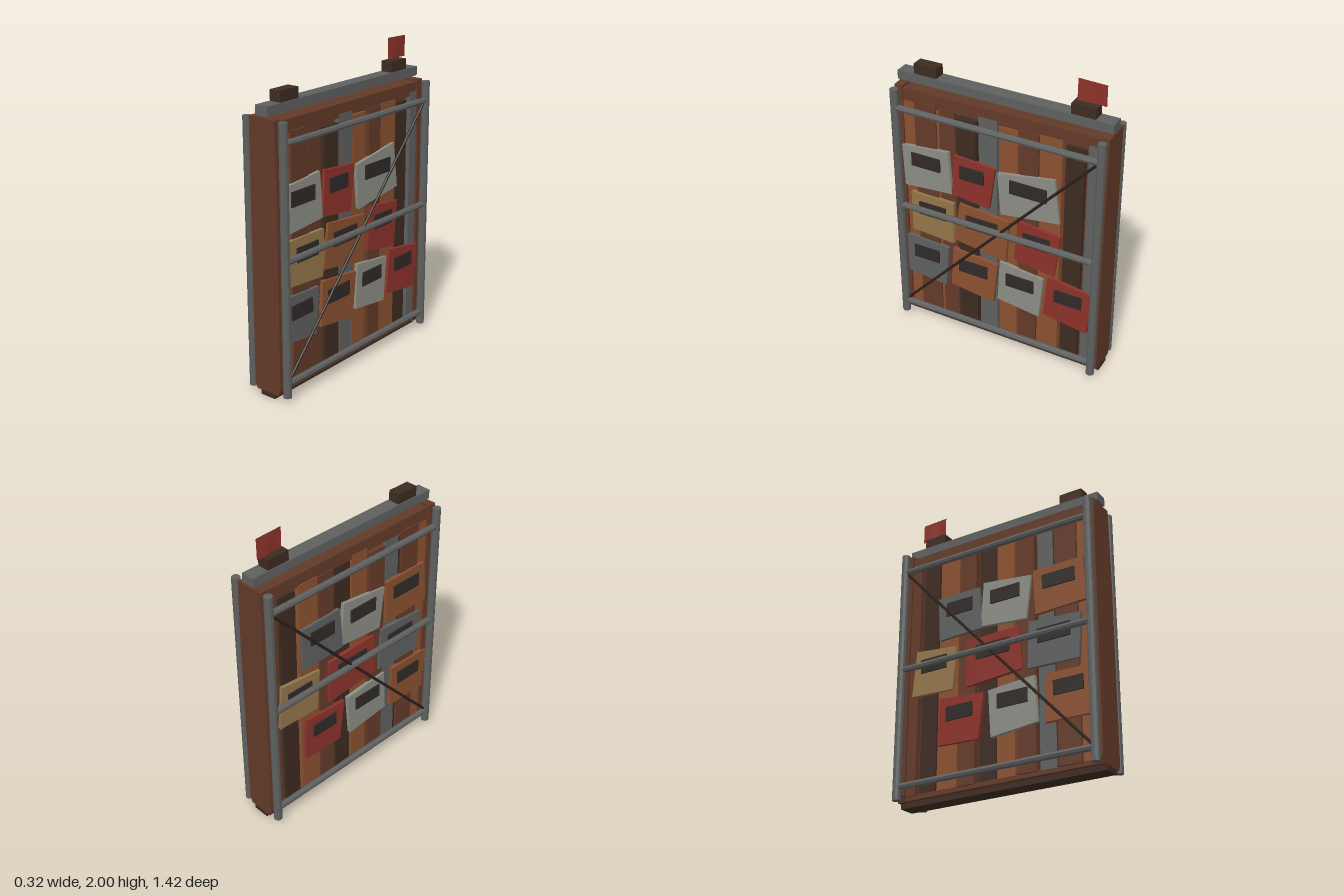
import * as THREE from 'three';

const C = {
  rust: 0x8a5030, brown: 0x633a28, dark: 0x3d2b21, steel: 0x5e5f5f,
  pale: 0x8b8c84, red: 0x8c322a, tan: 0x93764a, slot: 0x302a28, wire: 0x2c201a,
};
const mats = {};
const mat = (c) => (mats[c] ??= new THREE.MeshStandardMaterial({
  color: C[c], flatShading: true, side: c === 'red' ? THREE.DoubleSide : THREE.FrontSide,
}));

function add(parent, name, geo, color, x = 0, y = 0, z = 0) {
  const m = new THREE.Mesh(geo, mat(color));
  m.name = name;
  m.position.set(x, y, z);
  parent.add(m);
  return m;
}
const box = (parent, name, color, [w, h, d], [x, y, z]) =>
  add(parent, name, new THREE.BoxGeometry(w, h, d), color, x, y, z);

// Round bar between two points
function bar(parent, name, color, a, b, r, sides = 8) {
  const A = new THREE.Vector3(...a), B = new THREE.Vector3(...b);
  const dir = B.clone().sub(A);
  const m = add(parent, name, new THREE.CylinderGeometry(r, r, dir.length(), sides), color);
  m.position.copy(A).add(B).multiplyScalar(0.5);
  m.quaternion.setFromUnitVectors(new THREE.Vector3(0, 1, 0), dir.normalize());
  return m;
}

// Slightly uneven box: sides lean by a small rule on the corners
function roughBox(w, h, d, amount, seed) {
  const g = new THREE.BoxGeometry(w, h, d);
  const p = g.attributes.position;
  for (let i = 0; i < p.count; i++) {
    const sx = Math.sign(p.getX(i)), sy = Math.sign(p.getY(i)), sz = Math.sign(p.getZ(i));
    const k = Math.sin(seed * 12.9 + sx * 3.1 + sy * 5.7 + sz * 8.3);
    p.setY(i, p.getY(i) + k * amount);
    p.setZ(i, p.getZ(i) + Math.cos(k * 9 + seed) * amount);
  }
  g.computeVertexNormals();
  return g;
}

// Plank colours from front to back: [right face, left face]
const PLANKS = [
  ['rust', 'rust'], ['brown', 'brown'], ['rust', 'dark'], ['brown', 'steel'], ['dark', 'brown'],
  ['steel', 'rust'], ['rust', 'dark'], ['brown', 'brown'], ['rust', 'rust'], ['dark', 'dark'], ['steel', 'brown'],
];
const PLANK_Z = [0.63, 0.5, 0.42, 0.354, 0.215, 0.07, -0.065, -0.21, -0.35, -0.5, -0.635];
const PLANK_W = [0.1, 0.15, 0.09, 0.11, 0.13, 0.125, 0.125, 0.12, 0.145, 0.12, 0.1];

// Patch plates: colour, z, y, width, tilt
const PATCHES = {
  right: [
    ['pale', 0.495, 1.185, 0.33, 0.05], ['red', 0.17, 1.185, 0.27, -0.13], ['pale', -0.215, 1.185, 0.4, 0.13],
    ['tan', 0.46, 0.835, 0.31, -0.05], ['rust', 0.105, 0.835, 0.36, -0.12], ['red', -0.275, 0.835, 0.29, -0.11],
    ['steel', 0.515, 0.485, 0.3, -0.04], ['rust', 0.17, 0.48, 0.33, -0.08],
    ['pale', -0.165, 0.485, 0.31, -0.08], ['red', -0.5, 0.48, 0.3, -0.1],
  ],
  left: [
    ['steel', -0.26, 1.185, 0.31, -0.06], ['pale', 0.08, 1.185, 0.34, 0.08], ['rust', 0.46, 1.185, 0.36, -0.04],
    ['tan', -0.45, 0.835, 0.31, 0.06], ['red', -0.01, 0.835, 0.39, -0.05], ['steel', 0.42, 0.835, 0.36, 0.06],
    ['red', -0.25, 0.475, 0.31, 0.08], ['pale', 0.13, 0.48, 0.34, -0.06], ['rust', 0.51, 0.48, 0.32, 0.05],
  ],
};

function buildSide(name, s) {
  const side = new THREE.Group();
  side.name = name + 'Side';

  // Upright planks
  PLANKS.forEach((pair, i) => {
    const h = 1.56 + 0.025 * Math.sin(i * 2.7), t = 0.04 + 0.008 * Math.sin(i * 1.9);
    box(side, 'plank', pair[s > 0 ? 0 : 1], [t, h, PLANK_W[i]], [s * (0.045 + t / 2), 0.06 + h / 2, PLANK_Z[i]]);
  });

  // Patch plates, each with a dark slot
  PATCHES[name].forEach(([color, z, y, w, tilt], i) => {
    const plate = add(side, 'patchPlate', roughBox(0.024, 0.295, w, 0.008, i + 1), color, s * 0.096, y, z);
    plate.rotation.x = tilt;
    box(side, 'patchSlot', 'slot', [0.012, 0.092, w * 0.62], [s * 0.111, y + 0.05, z]);
  });

  // Scaffold poles, rails and diagonal wire
  const x = s * 0.135;
  for (const z of [-0.685, 0.685]) bar(side, 'scaffoldPole', 'steel', [x, 0.03, z], [x, 1.71, z], 0.027, 10);
  for (const y of [0.115, 0.885, 1.585]) bar(side, 'scaffoldRail', 'steel', [x, y, -0.68], [x, y, 0.68], 0.021);
  bar(side, 'diagonalBrace', 'wire', [x, 0.14, 0.66], [x, 1.565, -0.66], 0.009, 6);
  return side;
}

// End post: narrowed foot and one worn top corner
function endPost() {
  const s = new THREE.Shape([
    [-0.085, 0.03], [0.085, 0.03], [0.1, 0.07], [0.1, 1.25], [0.088, 1.715], [-0.098, 1.72], [-0.1, 0.07],
  ].map(([x, y]) => new THREE.Vector2(x, y)));
  return new THREE.ExtrudeGeometry(s, { depth: 0.055, bevelEnabled: false });
}

export function createModel() {
  const model = new THREE.Group();
  model.name = 'patchedWallPanel';

  // Core and timber frame
  box(model, 'core', 'brown', [0.1, 1.58, 1.32], [0, 0.84, 0]);
  box(model, 'bottomSill', 'dark', [0.11, 0.04, 1.42], [0, 0.02, 0]);
  box(model, 'bottomRail', 'brown', [0.16, 0.03, 1.32], [0, 0.05, 0]);
  box(model, 'topRail', 'brown', [0.165, 0.085, 1.4], [0, 1.66, 0]);
  add(model, 'frontPost', endPost(), 'brown', 0, 0, 0.655);
  add(model, 'backPost', endPost(), 'brown', 0, 0, -0.71);

  // Both faces
  model.add(buildSide('right', 1), buildSide('left', -1));

  // Cap beam and blocks
  box(model, 'capBeam', 'steel', [0.09, 0.058, 1.424], [0, 1.76, 0]);
  for (const z of [0.52, -0.52]) box(model, 'capBlock', 'dark', [0.078, 0.068, 0.155], [0, 1.822, z]);

  // Small waving flag
  const cloth = new THREE.PlaneGeometry(0.18, 0.135, 6, 2).rotateY(Math.PI / 2);
  const p = cloth.attributes.position;
  for (let i = 0; i < p.count; i++) {
    const z = p.getZ(i), y = p.getY(i);
    p.setX(i, 0.005 * Math.sin(z * 30) * (0.5 - y * 7));
    p.setY(i, y + z * 0.03);
  }
  cloth.computeVertexNormals();
  add(model, 'flag', cloth, 'red', -0.003, 1.93, -0.552);
  return model;
}
